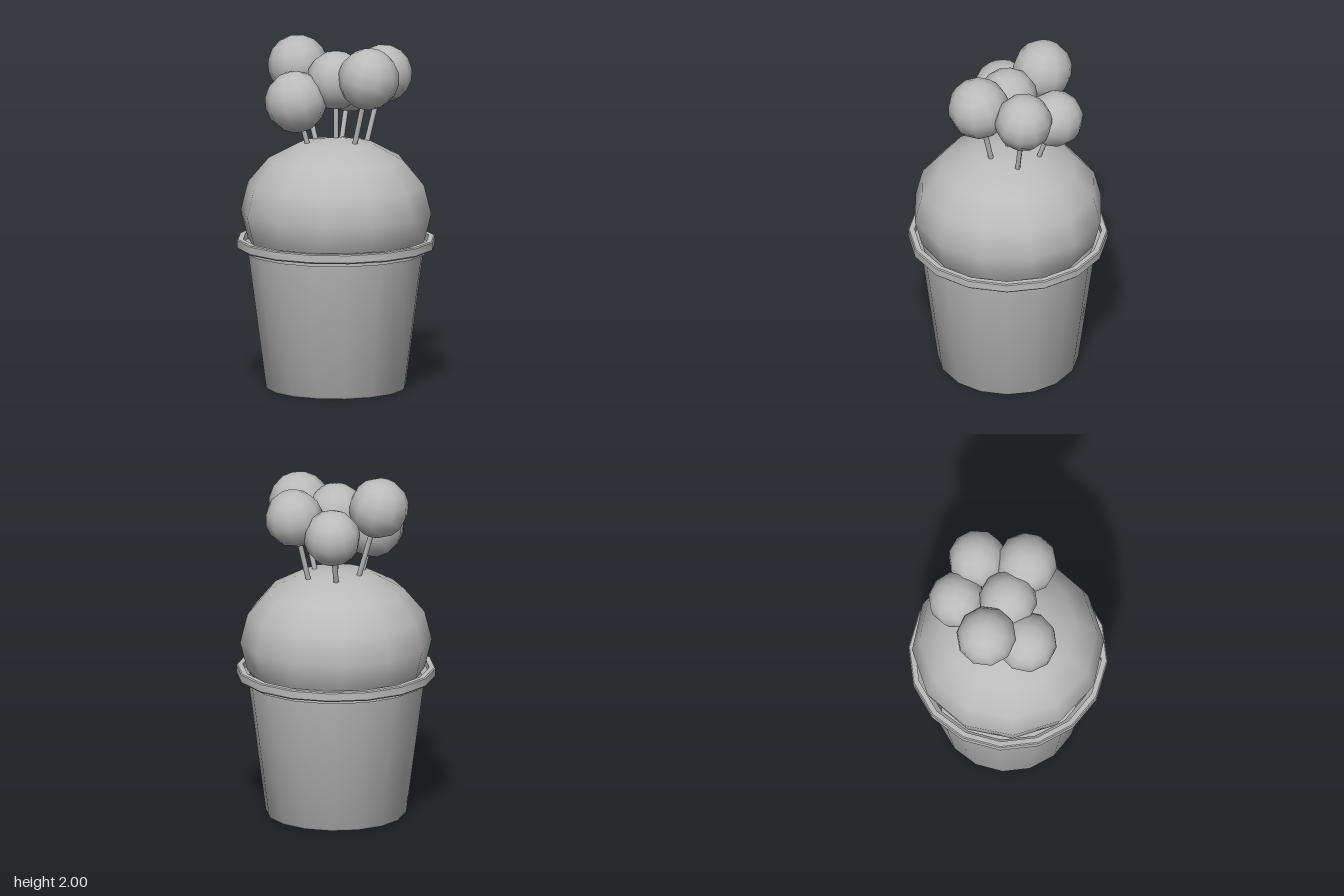
import * as THREE from 'three';
import { toCreasedNormals } from 'three/addons/utils/BufferGeometryUtils.js';

export function createModel() {
  const group = new THREE.Group();
  const grey = new THREE.MeshStandardMaterial({ color: 0xbbbbbb });
  grey.name = 'plain grey';

  const add = (name, geometry, parent = group) => {
    const mesh = new THREE.Mesh(geometry, grey);
    mesh.name = name;
    parent.add(mesh);
    return mesh;
  };

  // Tapered cup with a stepped rim and an inner wall
  const profile = [
    [0, 0], [0.392, 0], [0.4, 0.012], [0.502, 0.785], [0.52, 0.785], [0.52, 0.808],
    [0.558, 0.808], [0.566, 0.816], [0.566, 0.858], [0.56, 0.864], [0.53, 0.864],
    [0.53, 0.825], [0.495, 0.8], [0.385, 0.03], [0, 0.03],
  ].map(([r, y]) => new THREE.Vector2(r, y));
  add('cup', toCreasedNormals(new THREE.LatheGeometry(profile, 16), 0.6));

  // Squashed dome resting in the cup
  const dome = add('dome', new THREE.SphereGeometry(0.545, 12, 8));
  dome.scale.y = 0.43 / 0.545;
  dome.position.y = 1.01;

  // Balls on sticks: ball centre, radius, stick base
  const base = 1.36;
  const pops = [
    ['leftmostPop', [-0.272, 1.828, 0], 0.172, [-0.13, base, 0]],
    ['backLeftPop', [-0.11, 1.7, -0.27], 0.162, [-0.08, base, -0.15]],
    ['backRightPop', [0.135, 1.785, -0.265], 0.165, [0.085, base, -0.16]],
    ['rightmostPop', [0.232, 1.8, 0], 0.176, [0.12, base, 0]],
    ['centrePop', [0, 1.77, 0], 0.168, [0, base, 0]],
    ['frontPop', [-0.143, 1.656, 0.19], 0.176, [-0.1, base, 0.115]],
  ];
  const up = new THREE.Vector3(0, 1, 0);
  for (const [name, centre, radius, foot] of pops) {
    const pop = new THREE.Group();
    pop.name = name;
    const top = new THREE.Vector3(...centre);
    const direction = top.clone().sub(new THREE.Vector3(...foot));
    const length = direction.length();
    pop.position.copy(top);
    pop.quaternion.setFromUnitVectors(up, direction.normalize());
    add('ball', new THREE.SphereGeometry(radius, 10, 8), pop);
    const stick = add('stick', new THREE.CylinderGeometry(0.015, 0.015, length, 6), pop);
    stick.position.y = -length / 2;
    group.add(pop);
  }
  return group;
}
